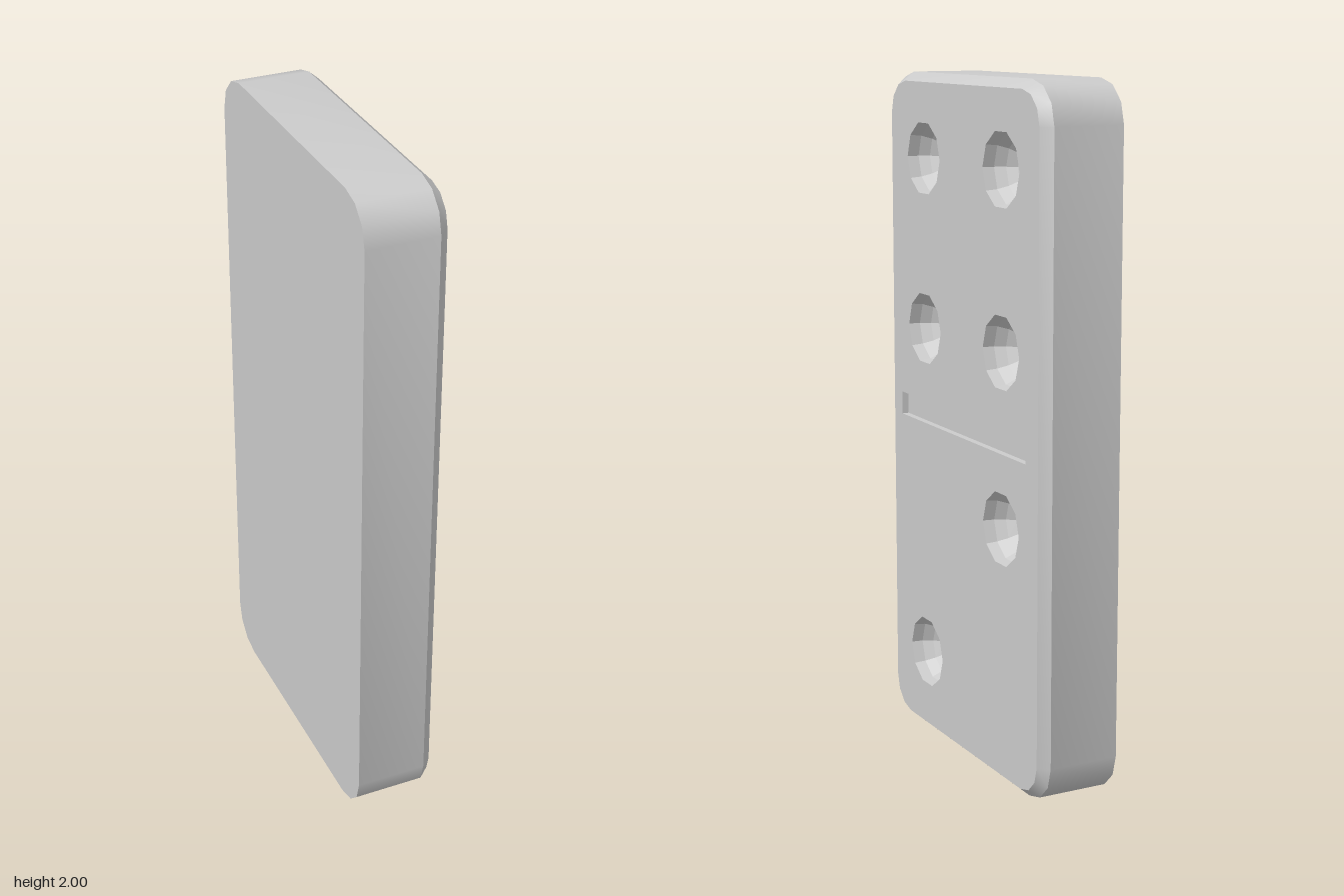
import * as THREE from 'three';
import { toCreasedNormals } from 'three/addons/utils/BufferGeometryUtils.js';

const W = 0.48, H = 1, R = 0.12, T = 0.12;   // half width, half height, corner radius, half thickness
const BEVEL = 0.026, BEVEL_DEPTH = 0.03;
const PIP_R = 0.107, PIP_SIDES = 10;
const PIPS = [[-0.24, 0.755], [0.24, 0.755], [-0.24, 0.255], [0.24, 0.255], [0.24, -0.245], [-0.24, -0.745]];
const SLOT = { x: -0.008, y: 0.004, w: 0.784, h: 0.068, depth: 0.02 };

// Rounded rectangle, counter-clockwise, three facets per corner
function outline(inset) {
  const r = R - inset, pts = [];
  const corners = [[1, 1], [-1, 1], [-1, -1], [1, -1]];
  corners.forEach(([sx, sy], c) => {
    for (let i = 0; i <= 3; i++) {
      const a = (c + i / 3) * Math.PI / 2;
      pts.push(new THREE.Vector2(sx * (W - R) + r * Math.cos(a), sy * (H - R) + r * Math.sin(a)));
    }
  });
  return pts;
}

// Side wall and bevel, skinned through three cross-sections
function wallGeometry() {
  const sections = [[0, -T], [0, T - BEVEL_DEPTH], [BEVEL, T]];
  const pos = [], idx = [];
  for (const [inset, z] of sections) for (const p of outline(inset)) pos.push(p.x, p.y, z);
  const n = pos.length / 3 / sections.length;
  for (let s = 0; s < sections.length - 1; s++) {
    for (let i = 0; i < n; i++) {
      const a = s * n + i, b = s * n + (i + 1) % n;
      idx.push(a, b, b + n, a, b + n, a + n);
    }
  }
  const g = new THREE.BufferGeometry();
  g.setAttribute('position', new THREE.Float32BufferAttribute(pos, 3));
  g.setIndex(idx);
  return toCreasedNormals(g, 0.61);
}

// Front face with openings for the pips and the dividing groove
function faceGeometry() {
  const shape = new THREE.Shape(outline(BEVEL));
  for (const [x, y] of PIPS) {
    const ring = [];
    for (let i = 0; i < PIP_SIDES; i++) {
      const a = i / PIP_SIDES * Math.PI * 2;
      ring.push(new THREE.Vector2(x + PIP_R * Math.cos(a), y + PIP_R * Math.sin(a)));
    }
    shape.holes.push(new THREE.Path(ring));
  }
  const { x, y, w, h } = SLOT;
  shape.holes.push(new THREE.Path([[-1, -1], [1, -1], [1, 1], [-1, 1]].map(
    ([sx, sy]) => new THREE.Vector2(x + sx * w / 2, y + sy * h / 2))));
  return new THREE.ShapeGeometry(shape).translate(0, 0, T);
}

// Faceted hemispherical bowl opening towards +z
function pipGeometry() {
  const profile = [];
  for (let i = 0; i <= 5; i++) {
    const a = i / 5 * Math.PI / 2;
    profile.push(new THREE.Vector2(i === 5 ? 0 : PIP_R * Math.cos(a), -PIP_R * Math.sin(a)));
  }
  return new THREE.LatheGeometry(profile, PIP_SIDES, Math.PI / 2).rotateX(Math.PI / 2);
}

export function createModel() {
  const model = new THREE.Group();
  model.name = 'domino';
  const tile = new THREE.Group();
  tile.name = 'tile';
  model.add(tile);

  const smooth = new THREE.MeshStandardMaterial({ color: 0xcccccc });
  const flat = new THREE.MeshStandardMaterial({ color: 0xcccccc, flatShading: true, side: THREE.DoubleSide });
  const inside = new THREE.MeshStandardMaterial({ color: 0xcccccc, side: THREE.BackSide });
  const add = (name, geometry, material) => {
    const mesh = new THREE.Mesh(geometry, material);
    mesh.name = name;
    tile.add(mesh);
    return mesh;
  };

  add('sideWall', wallGeometry(), smooth);
  add('pipFace', faceGeometry(), smooth);
  add('backFace', new THREE.ShapeGeometry(new THREE.Shape(outline(0))).rotateY(Math.PI).translate(0, 0, -T), smooth);

  // Hollow pips
  const bowl = pipGeometry();
  PIPS.forEach(([x, y], i) => add('pip' + (i + 1), bowl, flat).position.set(x, y, T));

  // Dividing groove: an open-fronted box seen from inside
  const groove = new THREE.BoxGeometry(SLOT.w, SLOT.h, SLOT.depth);
  const keep = [...groove.index.array];
  keep.splice(24, 6);
  groove.setIndex(keep);
  add('dividingGroove', groove, inside).position.set(SLOT.x, SLOT.y, T - SLOT.depth / 2);

  // Turn the pips towards +x and stand the tile on the ground
  tile.rotation.y = Math.PI / 2;
  tile.position.y = H;
  return model;
}
